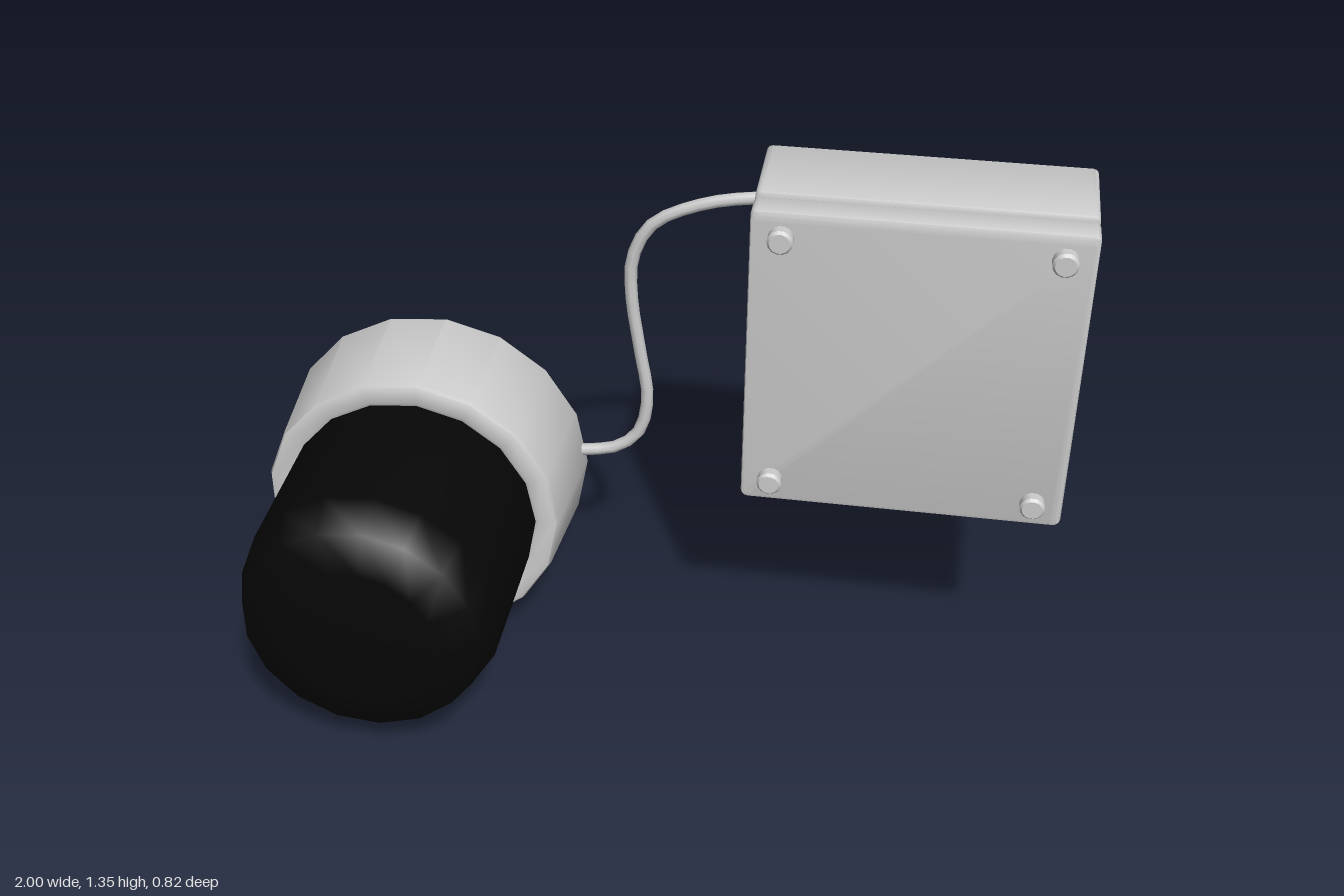
import * as THREE from 'three';
import { toCreasedNormals } from 'three/addons/utils/BufferGeometryUtils.js';

const grey = new THREE.MeshStandardMaterial({ color: 0xcccccc, side: THREE.DoubleSide });
const black = new THREE.MeshStandardMaterial({ color: 0x060606, side: THREE.DoubleSide });

function add(group, name, geometry, material = grey) {
  const mesh = new THREE.Mesh(geometry, material);
  mesh.name = name;
  group.add(mesh);
  return mesh;
}

// Turned sheet around the z axis; profile is [radius, z] from back to front.
function turned(profile, sides) {
  const points = profile.map(([r, z]) => new THREE.Vector2(r, z));
  return new THREE.LatheGeometry(points, sides, Math.PI / 2).rotateX(Math.PI / 2);
}

// Rounded-rectangle sheet lofted along z; rings are [inset, z], closed at the last ring.
function rectShell(width, height, radius, rings) {
  const steps = 3, positions = [], index = [];
  const count = 4 * (steps + 1);
  for (const [inset, z] of rings) {
    for (let c = 0; c < 4; c++) {
      const sx = c === 0 || c === 3 ? 1 : -1, sy = c < 2 ? 1 : -1;
      for (let s = 0; s <= steps; s++) {
        const a = (c + s / steps) * Math.PI / 2;
        positions.push(
          sx * (width / 2 - inset - radius) + radius * Math.cos(a),
          sy * (height / 2 - inset - radius) + radius * Math.sin(a), z);
      }
    }
  }
  for (let r = 0; r < rings.length - 1; r++) {
    for (let i = 0; i < count; i++) {
      const a = r * count + i, b = r * count + (i + 1) % count;
      index.push(a, b, b + count, a, b + count, a + count);
    }
  }
  const last = (rings.length - 1) * count;
  for (let i = 1; i < count - 1; i++) index.push(last, last + i, last + i + 1);
  const geometry = new THREE.BufferGeometry();
  geometry.setAttribute('position', new THREE.Float32BufferAttribute(positions, 3));
  geometry.setIndex(index);
  return toCreasedNormals(geometry, 0.6);
}

export function createModel() {
  const model = new THREE.Group();
  model.name = 'wiredLampAndBox';

  // Lamp: hollow tapered base and dark dome
  const lamp = new THREE.Group();
  lamp.name = 'lamp';
  lamp.position.set(-0.607, 0.4, 0);
  add(lamp, 'lampBase', toCreasedNormals(turned([
    [0.393, -0.41], [0.4, -0.398], [0.379, -0.125], [0.374, -0.112],
    [0.362, -0.107], [0.33, -0.107], [0.32, -0.112]], 17), 0.6));
  add(lamp, 'lampDome', turned([
    [0.32, -0.112], [0.32, 0.28], [0.287, 0.38], [0.19, 0.41], [0, 0.412]], 17), black);
  model.add(lamp);

  // Box: one hollow sheet, open at the back, with a groove between body and lid
  const box = new THREE.Group();
  box.name = 'junctionBox';
  box.position.set(0.617, 0.96, 0);
  add(box, 'boxShell', rectShell(0.766, 0.78, 0.015, [
    [0.004, -0.41], [0, -0.402], [0, -0.174], [0.003, -0.167], [0.01, -0.164],
    [0.042, -0.164], [0.042, -0.147],
    [0.01, -0.147], [0.003, -0.144], [0, -0.137], [0, -0.082],
    [0.003, -0.074], [0.011, -0.071]]));

  // Lid screws
  for (const sx of [-1, 1]) {
    for (const sy of [-1, 1]) {
      const screw = add(box, 'lidScrew', toCreasedNormals(turned([
        [0.03, -0.074], [0.03, -0.048], [0.024, -0.041], [0, -0.041]], 14), 0.6));
      screw.position.set(sx * 0.312, sy * 0.327, 0);
    }
  }
  model.add(box);

  // Cable between lamp and box
  const path = new THREE.CatmullRomCurve3([
    [0.3, 1.22], [0.2, 1.215], [0.08, 1.187], [-0.035, 1.125], [-0.083, 1.03],
    [-0.086, 0.92], [-0.066, 0.77], [-0.046, 0.62], [-0.07, 0.515],
    [-0.13, 0.463], [-0.21, 0.445], [-0.31, 0.435],
  ].map(([x, y]) => new THREE.Vector3(x, y, -0.387)));
  add(model, 'cable', new THREE.TubeGeometry(path, 28, 0.016, 8));

  return model;
}
